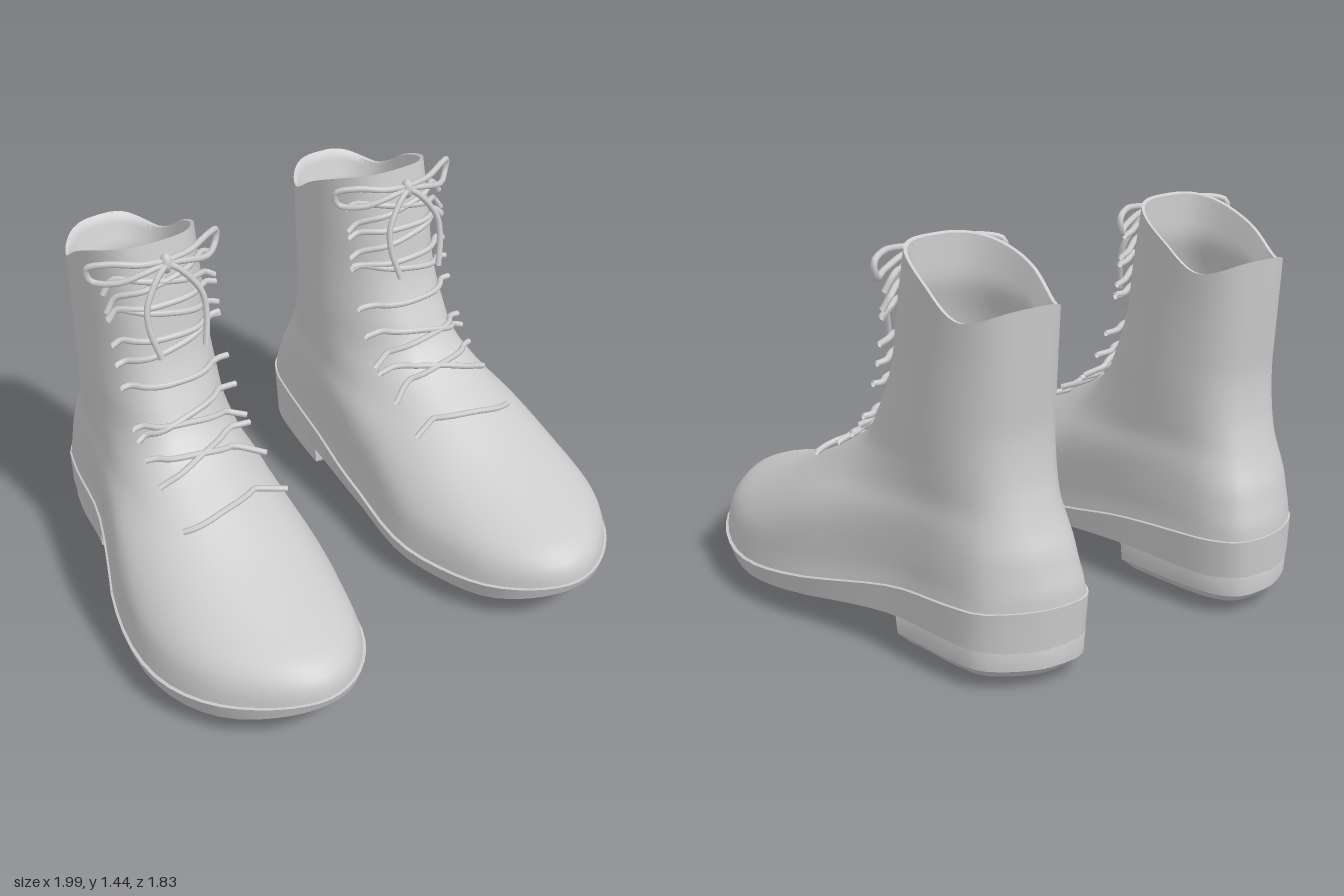
import * as THREE from 'three';
import { toCreasedNormals } from 'three/addons/utils/BufferGeometryUtils.js';

const material = new THREE.MeshStandardMaterial({ color: 0xcccccc, side: THREE.DoubleSide });
const SEG = 64;
const { lerp, smoothstep } = THREE.MathUtils;

// Smooth interpolation of one or more values over increasing keys
function spline(keys, values) {
  const flat = values.flat();
  const f = new THREE.CubicInterpolant(keys, flat, flat.length / keys.length);
  return t => Array.from(f.evaluate(t));
}

// Horizontal sections of the boot: height -> front z, back z, half width, front roundness, foot shape
const section = spline(
  [0.2, 0.26, 0.32, 0.42, 0.5, 0.58, 0.7, 0.85, 1.0, 1.2, 1.44],
  [
    [0.905, -0.905, 0.41, 1, 1],
    [0.895, -0.9, 0.4, 1, 1],
    [0.84, -0.885, 0.39, 1, 0.95],
    [0.6, -0.86, 0.355, 0.95, 0.8],
    [0.39, -0.83, 0.318, 0.9, 0.6],
    [0.21, -0.805, 0.275, 0.85, 0.35],
    [0, -0.775, 0.25, 0.8, 0.12],
    [-0.105, -0.757, 0.24, 0.75, 0],
    [-0.17, -0.765, 0.232, 0.7, 0],
    [-0.205, -0.775, 0.225, 0.66, 0],
    [-0.25, -0.785, 0.22, 0.65, 0],
  ]);
const SOLE = [0.915, -0.91, 0.42, 1, 1];

// Foot shape: width factor from heel (-1) to toe (1), and the curved centre line
const footWidth = spline([-1, -0.88, -0.74, -0.44, -0.14, 0, 0.33, 0.58, 0.77, 1],
  [0.74, 0.83, 0.78, 0.74, 0.84, 0.905, 1.055, 1.11, 1.14, 1.08]);
const centreLine = spline([-0.91, -0.8, -0.67, -0.4, -0.13, 0, 0.3, 0.53, 0.9],
  [0.445, 0.493, 0.503, 0.505, 0.535, 0.558, 0.578, 0.587, 0.555]);
const centreX = z => centreLine(z)[0];

// Heights along z: seam between upper and sole, top rim, sole edge and underside
const welt = spline([-0.9, -0.4, 0, 0.4, 0.7, 0.9], [0.3, 0.26, 0.185, 0.14, 0.165, 0.2]);
const rim = spline([-0.785, -0.72, -0.65, -0.5, -0.35, -0.25], [1.3, 1.265, 1.255, 1.345, 1.41, 1.44]);
const edge = spline([-0.9, -0.4, 0, 0.4, 0.7, 0.92], [0.15, 0.15, 0.11, 0.075, 0.095, 0.17]);
const under = spline([-0.9, -0.35, -0.2, 0, 0.2, 0.4, 0.6, 0.8, 0.92],
  [0.14, 0.1, 0.09, 0.05, 0.01, 0, 0.025, 0.085, 0.16]);

// Foot outline at angle a (0 = toe); returns [x, z]
function outline([front, back, half, round, foot], a, inset = 0) {
  const c = Math.cos(a), s = Math.sin(a);
  const z = (front + back) / 2 + ((front - back) / 2 - inset) * c;
  const w = (half - inset) * Math.abs(s) ** (c > 0 ? round : 0.7) * lerp(1, footWidth(c)[0], foot);
  return [centreX(z) + Math.sign(s) * w, z];
}

// Point on the upper, following the seam below and the curved rim above
function upperPoint(h, a, inset = 0) {
  const [x, z] = outline(section(h), a, inset);
  const low = Math.max(0, (0.7 - h) / 0.5), high = Math.max(0, (h - 1) / 0.44);
  return [x, h + (welt(z)[0] - 0.2) * low + (rim(z)[0] - 1.44) * high, z];
}

const ring = (f, from = 0, to = Math.PI * 2, n = SEG) =>
  Array.from({ length: n }, (_, i) => f(from + (to - from) * i / n));

// Skin closed rings; side = -1 mirrors the result in x
function loft(rings, side, crease) {
  const n = rings[0].length, index = [];
  for (let i = 0; i < rings.length - 1; i++) {
    for (let j = 0; j < n; j++) {
      const a = i * n + j, b = i * n + (j + 1) % n, c = a + n, d = b + n;
      index.push(...(side > 0 ? [a, b, d, a, d, c] : [a, d, b, a, c, d]));
    }
  }
  const g = new THREE.BufferGeometry();
  g.setAttribute('position', new THREE.Float32BufferAttribute(
    rings.flat().flatMap(([x, y, z]) => [side * x, y, z]), 3));
  g.setIndex(index);
  return toCreasedNormals(g, crease);
}

// Outer skin up to the rim, then the padded collar and lining down to the insole
function upper(side) {
  const rings = [];
  for (let i = 0; i <= 44; i++) rings.push(ring(a => upperPoint(0.2 + 1.24 * i / 44, a)));
  for (let i = 0; i <= 32; i++) {
    const h = 1.437 - 1.19 * i / 32;
    const inset = h > 1.28 ? lerp(0.045, 0.012, (h - 1.28) / 0.157) : lerp(0.028, 0.045, smoothstep(h, 1.1, 1.28));
    rings.push(ring(a => upperPoint(h, a, inset)));
  }
  rings.push(ring(() => [0.56, 0.24, 0]));
  return loft(rings, side, 0.9);
}

// Scaled sole outline; the height rule gets z and the distance from the centre line (0 to 1)
function soleRing(scale, height) {
  return ring(a => {
    const [x, z] = outline(SOLE, a);
    const k = scale(z), zk = z * k;
    const across = k * Math.abs(Math.sin(a)) / Math.sqrt(1 - Math.min(0.999, (k * Math.cos(a)) ** 2));
    return [centreX(zk) + (x - centreX(z)) * k, height(zk, across), zk];
  });
}

// Sole with a keeled underside, a raked edge and a narrow lip on top
function sole(side) {
  const rings = [0.01, 0.2, 0.33, 0.45, 0.58, 0.7, 0.8, 0.88].map(k => soleRing(() => k, (z, across) =>
    lerp(under(z)[0], edge(z)[0], across)));
  rings.push(
    soleRing(z => 0.99 - 0.035 * smoothstep(z, -0.5, -0.1) + 0.03 * smoothstep(z, 0.6, 0.9), z => edge(z)[0]),
    soleRing(() => 1, z => welt(z)[0]),
    soleRing(() => 0.95, z => welt(z)[0] + 0.01));
  return loft(rings, side, 0.5);
}

// Low heel block: rear part of the sole outline, closed by a straight breast
function heel(side) {
  const start = Math.acos(-0.38 / 0.91);
  const rings = [[0.01, 0.028], [0.5, 0.03], [0.83, 0.045], [0.955, 0.08], [0.97, 0.152], [0.9, 0.2]].map(([k, y]) =>
    ring(a => {
      const [x, z] = outline(SOLE, a);
      return [0.5 + (x - 0.5) * k, y, -0.62 + (z + 0.62) * k];
    }, start, start + (Math.PI - start) * 2 * 33 / 32, 33));
  return loft(rings, side, 0.5);
}

// Point just in front of the instep at a given x, found by bisecting the section
function lacePoint(x, h) {
  let low = -Math.PI / 2, high = Math.PI / 2;
  for (let i = 0; i < 24; i++) {
    const mid = (low + high) / 2;
    if (upperPoint(h, mid)[0] < x) low = mid; else high = mid;
  }
  const [, y, z] = upperPoint(h, low);
  const front = upperPoint(h, 0)[2];
  return [x, y + 0.01, Math.max(z, front - 0.07) + 0.02];
}

function tube(points, side, closed = false) {
  const curve = new THREE.CatmullRomCurve3(
    points.map(([x, y, z]) => new THREE.Vector3(side * x, y, z)), closed);
  return new THREE.TubeGeometry(curve, 36, 0.012, 7, closed);
}

function createBoot(side) {
  const boot = new THREE.Group();
  boot.name = side > 0 ? 'leftBoot' : 'rightBoot';
  const add = (name, geometry, parent = boot) => {
    const mesh = new THREE.Mesh(geometry, material);
    mesh.name = name;
    parent.add(mesh);
  };
  add('upper', upper(side));
  add('sole', sole(side));
  add('heel', heel(side));

  // Crossing laces: inner and outer end heights; the lower ones arch over the instep
  const laces = new THREE.Group();
  laces.name = 'laces';
  boot.add(laces);
  const heights = [[0.55, 0.55], [0.62, 0.69], [0.69, 0.63], [0.71, 0.78], [0.81, 0.74], [0.91, 0.92],
    [1.08, 1.0], [1.07, 1.09], [1.12, 1.22], [1.21, 1.21], [1.24, 1.34], [1.34, 1.25]];
  for (const [inner, outer] of heights) {
    const arch = inner < 0.85 ? 0.03 : 0;
    const points = [];
    for (let i = 0; i <= 12; i++) {
      const t = i / 12;
      points.push(lacePoint(lerp(0.295, 0.735, t), lerp(inner, outer, t) + arch * Math.sin(Math.PI * t)));
    }
    add('lace', tube(points, side), laces);
  }

  // Bow with a knot, two loops and two hanging ends
  const bow = new THREE.Group();
  bow.name = 'bow';
  boot.add(bow);
  add('knot', new THREE.SphereGeometry(0.028, 12, 8).scale(0.8, 1.4, 0.9)
    .translate(side * 0.52, 1.375, -0.2), bow);
  for (const d of [-1, 1]) {
    const at = (dx, y, z) => [0.52 + d * dx, y, z];
    add('bowLoop', tube([at(0, 1.38, -0.2), at(0.1, 1.395, -0.205), at(0.2, 1.405, -0.255),
      at(0.262, 1.385, -0.3), at(0.25, 1.335, -0.295), at(0.18, 1.335, -0.23),
      at(0.08, 1.365, -0.195)], side, true), bow);
    add('bowEnd', tube([at(0, 1.38, -0.19), at(0.05, 1.34, -0.175), at(0.11, 1.25, -0.15),
      at(0.115, 1.17, -0.13), at(0.09, 1.06, -0.1)], side), bow);
  }
  return boot;
}

export function createModel() {
  const model = new THREE.Group();
  model.name = 'boots';
  for (const side of [1, -1]) model.add(createBoot(side));
  return model;
}
